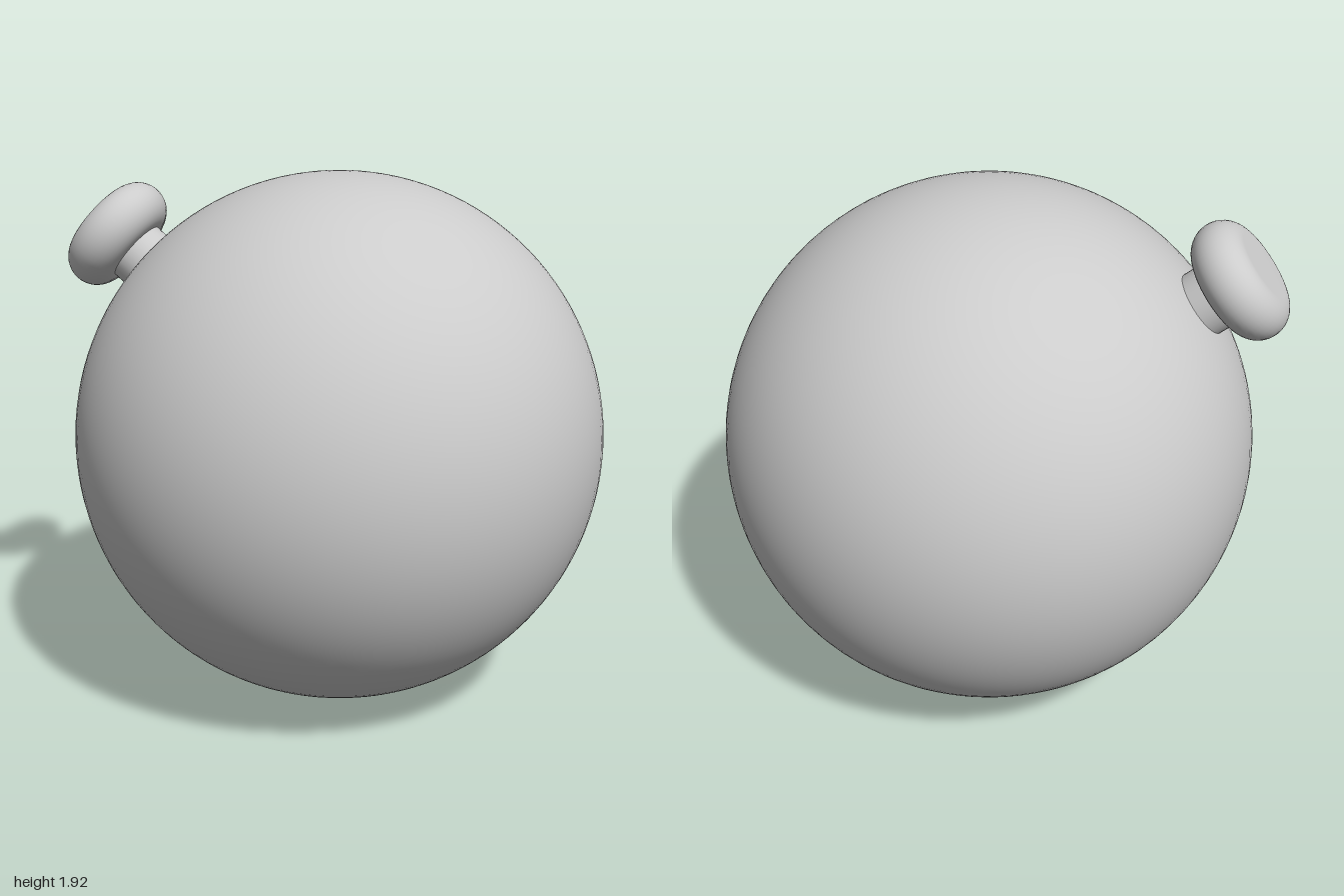
import * as THREE from 'three';

export function createModel() {
  const model = new THREE.Group();
  const material = new THREE.MeshStandardMaterial({ color: 0xcccccc });
  const add = (parent, name, geometry, y) => {
    const mesh = new THREE.Mesh(geometry, material);
    mesh.name = name;
    mesh.position.y = y;
    parent.add(mesh);
    return mesh;
  };

  // Large round body resting on the ground
  const radius = 0.962;
  add(model, 'body', new THREE.SphereGeometry(radius, 96, 64), radius).position.x = 0.037;

  // Knob assembly, pointing radially out of the body's upper right side
  const knobGroup = new THREE.Group();
  knobGroup.name = 'knobAssembly';
  knobGroup.position.set(0.037, radius, 0);
  knobGroup.rotation.z = THREE.MathUtils.degToRad(50.9);
  model.add(knobGroup);

  // Short neck, sunk into the body and the knob
  add(knobGroup, 'neck', new THREE.CylinderGeometry(0.118, 0.118, 0.2, 32), 1.0);

  // Thick disc with a fully rounded rim
  const rimRadius = 0.096;
  const coreRadius = 0.125;
  const profile = [new THREE.Vector2(0, -rimRadius)];
  for (let i = 0; i <= 20; i++) {
    const a = -Math.PI / 2 + (i / 20) * Math.PI;
    profile.push(new THREE.Vector2(coreRadius + rimRadius * Math.cos(a), rimRadius * Math.sin(a)));
  }
  profile.push(new THREE.Vector2(0, rimRadius));
  add(knobGroup, 'knob', new THREE.LatheGeometry(profile, 48), 1.112);

  return model;
}
